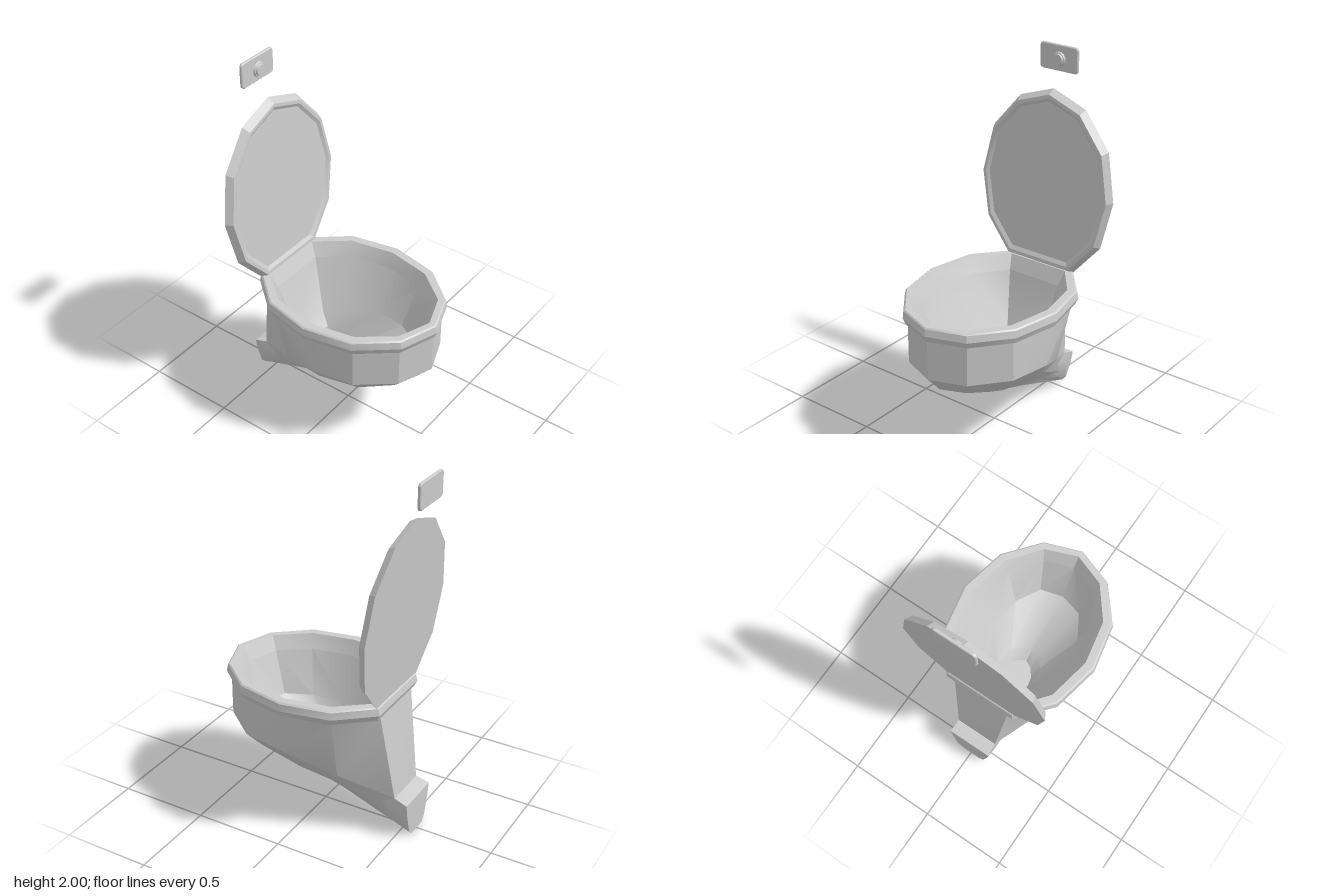
import * as THREE from 'three';
import { toCreasedNormals } from 'three/addons/utils/BufferGeometryUtils.js';

const material = new THREE.MeshStandardMaterial({ color: 0xcccccc, side: THREE.DoubleSide });

// Half outline (x, z) of the seat, from the front point to the back corner
const outline = [[0, 0.565], [0.21, 0.49], [0.37, 0.295], [0.425, 0.025], [0.37, -0.245], [0.21, -0.435]];
const zMid = 0.065;

// Seat outline scaled about its middle, at height y
const ring = (sx, sz, y) => outline.map(([x, z]) => [x * sx, y, zMid + (z - zMid) * sz]);

// Mirror a half ring into a closed loop; the first point lies on x = 0
const close = half => [...half, ...half.slice(1).reverse().map(([x, y, z]) => [-x, y, z])];

// Skin a series of half rings, with optional caps at the first and last
function loft(halves, capStart, capEnd, crease = 0.5) {
  const rings = halves.map(close);
  const n = rings[0].length;
  const pos = [];
  const tri = (a, b, c) => pos.push(...a, ...b, ...c);
  for (let k = 0; k < rings.length - 1; k++) {
    const a = rings[k], b = rings[k + 1];
    for (let i = 0; i < n; i++) {
      const j = (i + 1) % n;
      if (i < n / 2) {
        tri(a[i], a[j], b[j]);
        tri(a[i], b[j], b[i]);
      } else {
        tri(a[i], a[j], b[i]);
        tri(a[j], b[j], b[i]);
      }
    }
  }
  const cap = (r, flip) => {
    const face = (a, b, c) => (flip ? tri(a, c, b) : tri(a, b, c));
    face(r[0], r[1], r[n - 1]);
    for (let i = 1; i < (n - 1) / 2; i++) {
      face(r[i], r[i + 1], r[n - i - 1]);
      face(r[i], r[n - i - 1], r[n - i]);
    }
  };
  if (capStart) cap(rings[0], true);
  if (capEnd) cap(rings[rings.length - 1], false);
  const geo = new THREE.BufferGeometry();
  geo.setAttribute('position', new THREE.Float32BufferAttribute(pos, 3));
  return toCreasedNormals(geo, crease);
}

export function createModel() {
  const group = new THREE.Group();
  const add = (name, geo) => {
    const mesh = new THREE.Mesh(geo, material);
    mesh.name = name;
    group.add(mesh);
    return mesh;
  };

  // Outer bowl: keel, belly, shoulder and top edge
  const topEdge = [[0, 0.735, 0.545], [0.195, 0.735, 0.47], [0.345, 0.735, 0.285],
    [0.385, 0.735, 0.03], [0.34, 0.735, -0.23], [0.17, 0.735, -0.42]];
  add('bowlShell', loft([
    [[0, 0.375, 0.39], [0.09, 0.365, 0.34], [0.13, 0.32, 0.2], [0.12, 0.245, 0], [0.08, 0.17, -0.15], [0.06, 0.025, -0.5]],
    [[0, 0.41, 0.455], [0.13, 0.41, 0.4], [0.25, 0.4, 0.25], [0.26, 0.35, 0], [0.17, 0.25, -0.23], [0.1, 0.1, -0.5]],
    [[0, 0.51, 0.545], [0.195, 0.51, 0.47], [0.345, 0.51, 0.285], [0.37, 0.49, 0.03], [0.26, 0.37, -0.22], [0.125, 0.24, -0.49]],
    topEdge,
  ], true, false));

  // Rim with a rounded outer edge and a short inner wall
  const innerEdge = ring(0.776, 0.83, 0.735);
  add('rim', loft([
    topEdge,
    ring(0.965, 0.97, 0.735),
    ring(1, 1, 0.77),
    ring(0.985, 0.985, 0.808),
    ring(0.965, 0.97, 0.815),
    ring(0.859, 0.905, 0.815),
    innerEdge,
  ], false, false));

  // Basin: sloping shelf and drain well
  add('basin', loft([
    innerEdge,
    [[0, 0.5, 0.38], [0.13, 0.5, 0.345], [0.21, 0.49, 0.21], [0.23, 0.49, 0.03], [0.17, 0.46, -0.13], [0.11, 0.43, -0.26]],
    [[0, 0.33, 0.07], [0.055, 0.33, 0.055], [0.1, 0.33, 0], [0.118, 0.33, -0.1], [0.105, 0.35, -0.16], [0.08, 0.36, -0.205]],
    [[0, 0.27, 0.01], [0.04, 0.27, -0.01], [0.08, 0.27, -0.06], [0.09, 0.27, -0.11], [0.085, 0.27, -0.16], [0.07, 0.27, -0.2]],
  ], false, true));

  // Waste outlet running back and down
  add('outlet', loft([
    [[0, 0.27, -0.3], [0.125, 0.27, -0.3], [0.13, 0.22, -0.3], [0.09, 0.14, -0.3], [0.06, 0.109, -0.3]],
    [[0, 0.235, -0.5], [0.125, 0.235, -0.5], [0.13, 0.18, -0.5], [0.09, 0.055, -0.5], [0.06, 0.025, -0.5]],
    [[0, 0.215, -0.565], [0.13, 0.215, -0.565], [0.12, 0.15, -0.565], [0.088, 0.03, -0.565], [0.06, 0, -0.565]],
  ], true, true));

  // Raised lid: the seat outline stood up, leaning back, with a recessed inner face
  const lidRing = (s, depth) => ring(s, s, 0).map(([x, , z]) => {
    const t = z + 0.435;
    return [x, 0.8 + 0.98 * t, -0.42 - 0.085 * t + depth];
  });
  add('lid', loft([lidRing(0.87, 0.028), lidRing(0.91, 0.04), lidRing(0.95, 0.04), lidRing(1, 0)], true, true, 0.3));

  // Flush plate with rounded corners
  const w = 0.12, h = 0.07, r = 0.02;
  const plate = new THREE.Shape();
  plate.absarc(w - r, h - r, r, 0, Math.PI / 2);
  plate.absarc(r - w, h - r, r, Math.PI / 2, Math.PI);
  plate.absarc(r - w, r - h, r, Math.PI, Math.PI * 1.5);
  plate.absarc(w - r, r - h, r, Math.PI * 1.5, Math.PI * 2);
  const plateGeo = new THREE.ExtrudeGeometry(plate, {
    depth: 0.01, bevelSize: 0.004, bevelThickness: 0.004, bevelOffset: -0.004, bevelSegments: 1, curveSegments: 3,
  });
  add('flushPlate', plateGeo).position.set(-0.008, 1.93, -0.567);

  // Flush button: collar and raised centre
  const button = [[0.042, 0.036, 0.012, -0.55], [0.032, 0.028, 0.01, -0.54]];
  button.forEach(([r0, r1, depth, z], i) => {
    const geo = new THREE.CylinderGeometry(r1, r0, depth, 16).rotateX(Math.PI / 2);
    add(i ? 'flushButton' : 'buttonCollar', geo).position.set(-0.004, 1.925, z);
  });

  return group;
}
